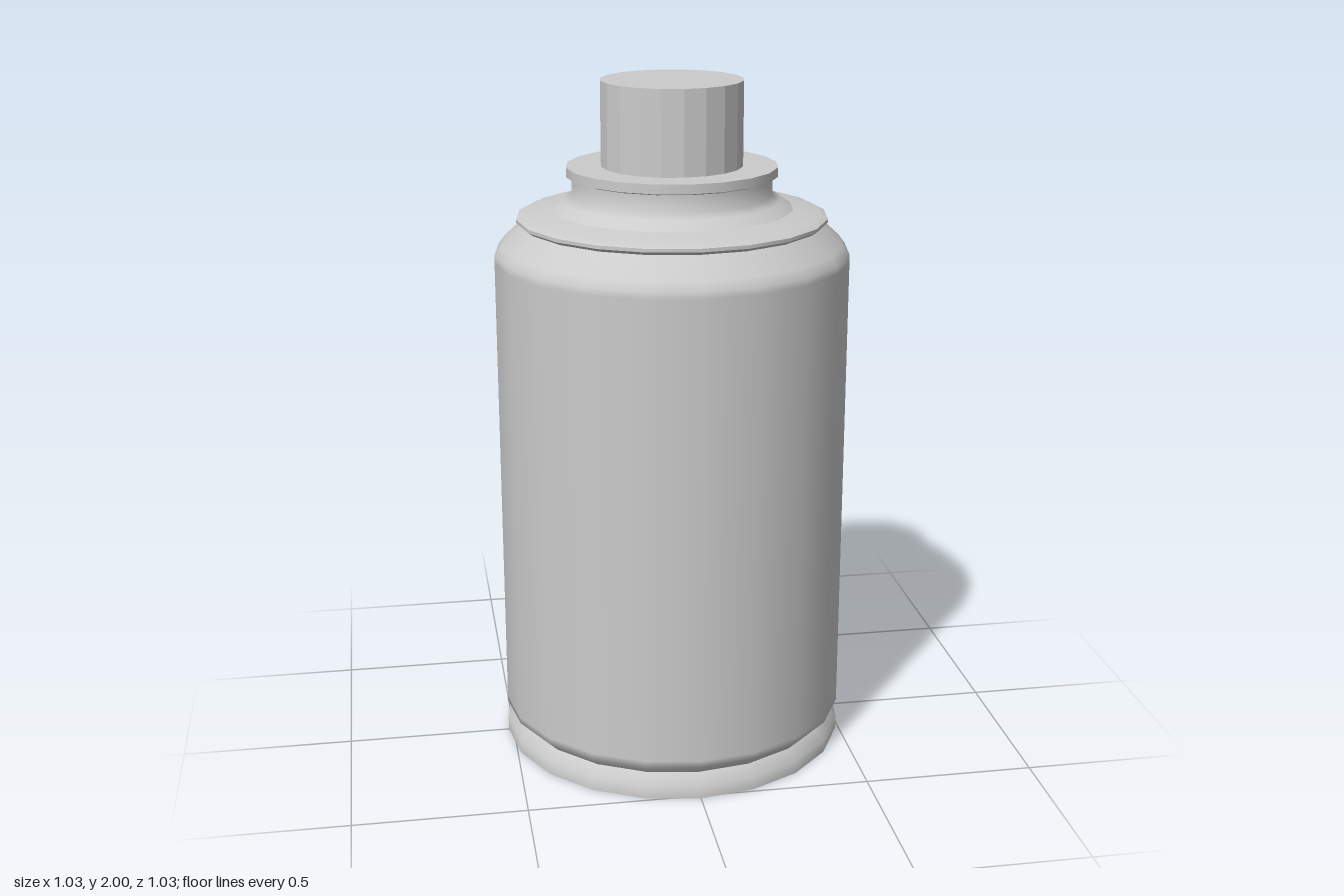
import * as THREE from 'three';

const SIDES = 20;

export function createModel() {
  const can = new THREE.Group();
  can.name = 'sprayCan';

  // Turned part: each strip of [radius, y] points is smooth, strips meet at hard edges
  function turned(name, strips, flatShading = false) {
    const part = new THREE.Group();
    part.name = name;
    const material = new THREE.MeshStandardMaterial({ color: 0xcccccc, flatShading });
    strips.forEach((strip, i) => {
      const points = strip.map(([r, y]) => new THREE.Vector2(r, y));
      const mesh = new THREE.Mesh(new THREE.LatheGeometry(points, SIDES), material);
      mesh.name = `${name}Surface${i + 1}`;
      part.add(mesh);
    });
    can.add(part);
  }

  // Bottom disc and the foot ring up to the crimp groove
  turned('base', [
    [[0, 0], [0.515, 0]],
    [[0.515, 0], [0.515, 0.04], [0.485, 0.07]],
  ]);

  // Straight wall with a bevelled shoulder
  turned('body', [
    [[0.485, 0.07], [0.515, 0.1], [0.515, 0.12], [0.515, 1.49], [0.515, 1.51], [0.497, 1.535], [0.435, 1.592]],
  ]);

  // Thin rolled seam around the shoulder
  turned('seam', [
    [[0.435, 1.592], [0.45, 1.602]],
    [[0.45, 1.602], [0.45, 1.612]],
    [[0.45, 1.612], [0.43, 1.622], [0.35, 1.635]],
  ]);

  // Dome step and neck under the valve
  turned('neck', [
    [[0.35, 1.635], [0.315, 1.66], [0.29, 1.675], [0.29, 1.725]],
  ]);

  // Valve collar
  turned('collar', [
    [[0.29, 1.725], [0.305, 1.73]],
    [[0.305, 1.73], [0.305, 1.757]],
    [[0.305, 1.757], [0, 1.757]],
  ]);

  // Faceted nozzle button
  turned('nozzle', [
    [[0.205, 1.757], [0.205, 2]],
    [[0.205, 2], [0, 2]],
  ], true);

  return can;
}
